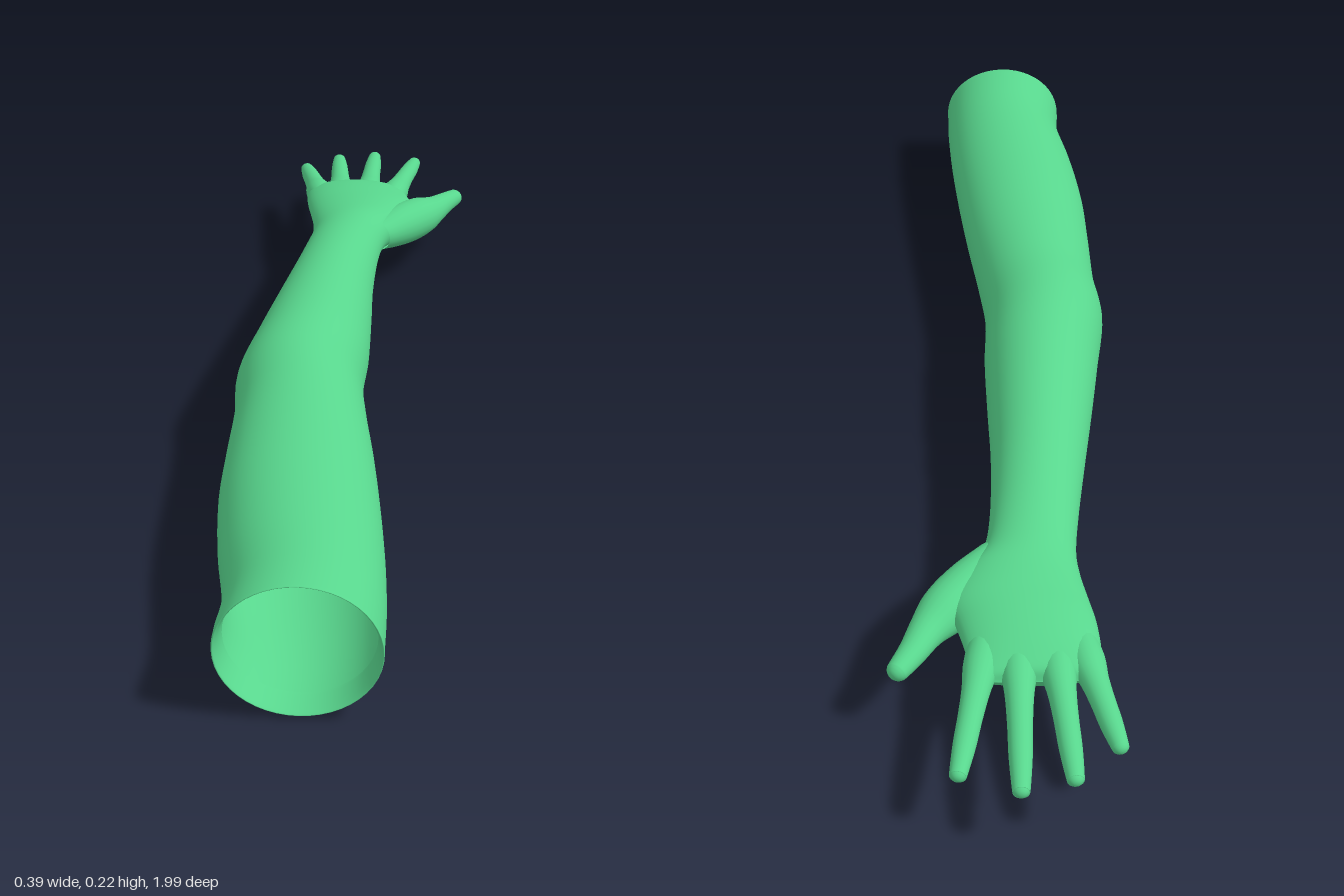
import * as THREE from 'three';

const skin = new THREE.MeshStandardMaterial({ color: 0x58d68d, side: THREE.DoubleSide });
skin.name = 'green';

// Smooth loft through stations [x, y, z, half width, half height];
// side is the width direction, perpendicular to y.
function loft(name, stations, side, rings, sides) {
  const path = new THREE.CatmullRomCurve3(
    stations.map(([x, y, z]) => new THREE.Vector3(x, y, z)), false, 'catmullrom', 0.5);
  const size = new THREE.CatmullRomCurve3(
    stations.map(([, , , w, h]) => new THREE.Vector3(w, h, 0)), false, 'catmullrom', 0.5);
  const pos = [], index = [];
  for (let i = 0; i <= rings; i++) {
    const p = path.getPoint(i / rings), s = size.getPoint(i / rings);
    for (let j = 0; j < sides; j++) {
      const a = (j / sides) * Math.PI * 2;
      const u = Math.cos(a) * s.x, v = Math.sin(a) * s.y;
      pos.push(p.x + side.x * u, p.y + v, p.z + side.z * u);
      if (i < rings) {
        const k = (j + 1) % sides, r = i * sides, n = r + sides;
        index.push(r + j, n + j, r + k, r + k, n + j, n + k);
      }
    }
  }
  const geo = new THREE.BufferGeometry();
  geo.setAttribute('position', new THREE.Float32BufferAttribute(pos, 3));
  geo.setIndex(index);
  geo.computeVertexNormals();
  const mesh = new THREE.Mesh(geo, skin);
  mesh.name = name;
  return mesh;
}

// Digit: points [x, y, z, radius], slightly flattened, with a rounded tip
function digit(name, points, flat) {
  const a = points[0], b = points[points.length - 1];
  const dir = new THREE.Vector3(b[0] - a[0], 0, b[2] - a[2]).normalize();
  const side = new THREE.Vector3(-dir.z, 0, dir.x);
  const stations = points.map(([x, y, z, r]) => [x, y, z, r, r * flat]);
  const [x, y, z, r] = b;
  for (const t of [0.5, 0.8, 0.95, 1]) {
    const k = Math.sqrt(1 - t * t) * r;
    stations.push([x + dir.x * r * t, y, z + dir.z * r * t, k, k * flat]);
  }
  return loft(name, stations, side, 40, 20);
}

export function createModel() {
  const group = new THREE.Group();
  group.name = 'armWithHand';

  // Arm outline from shoulder opening to knuckles: z, x min, x max, y min, y max
  const outline = [
    [0.95, -0.137, 0.081, 0.014, 0.206],
    [0.985, -0.142, 0.086, 0.009, 0.211],
    [0.994, -0.147, 0.091, 0.005, 0.215],
    [0.975, -0.148, 0.091, 0.004, 0.216],
    [0.88, -0.145, 0.09, 0.006, 0.214],
    [0.75, -0.165, 0.083, 0.008, 0.213],
    [0.6, -0.181, 0.07, 0.008, 0.212],
    [0.45, -0.185, 0.054, 0.01, 0.211],
    [0.3, -0.187, 0.035, 0.007, 0.213],
    [0.18, -0.196, 0.024, 0.001, 0.219],
    [0.05, -0.18, 0.028, 0.004, 0.218],
    [-0.1, -0.16, 0.026, 0.015, 0.208],
    [-0.25, -0.139, 0.023, 0.036, 0.195],
    [-0.4, -0.119, 0.028, 0.06, 0.181],
    [-0.49, -0.11, 0.042, 0.07, 0.172],
    [-0.55, -0.113, 0.08, 0.075, 0.17],
    [-0.61, -0.123, 0.1, 0.078, 0.17],
    [-0.66, -0.132, 0.086, 0.08, 0.168],
    [-0.71, -0.136, 0.073, 0.084, 0.16],
    [-0.75, -0.134, 0.066, 0.09, 0.146],
    [-0.77, -0.128, 0.06, 0.1, 0.135],
    [-0.778, -0.12, 0.052, 0.1165, 0.1175],
  ];
  group.add(loft('armAndPalm', outline.map(([z, x0, x1, y0, y1]) =>
    [(x0 + x1) / 2, (y0 + y1) / 2, z, (x1 - x0) / 2, (y1 - y0) / 2]),
  new THREE.Vector3(1, 0, 0), 150, 48));

  // Fingers: base x, base z, tip x, tip z
  const fingers = {
    littleFinger: [-0.113, -0.74, -0.151, -0.905],
    ringFinger: [-0.068, -0.75, -0.083, -0.965],
    middleFinger: [-0.009, -0.75, -0.005, -0.985],
    indexFinger: [0.047, -0.74, 0.084, -0.953],
  };
  for (const [name, [bx, bz, tx, tz]] of Object.entries(fingers)) {
    const at = (t, y, r) => [bx + (tx - bx) * t, y, bz + (tz - bz) * t, r];
    group.add(digit(name, [
      at(-0.35, 0.123, 0.026), at(0, 0.12, 0.028), at(0.25, 0.118, 0.022),
      at(0.5, 0.116, 0.019), at(0.75, 0.113, 0.0175), at(1, 0.111, 0.0135),
    ], 0.95));
  }

  // Thumb
  group.add(digit('thumb', [
    [0.02, 0.12, -0.5, 0.032], [0.06, 0.118, -0.56, 0.043],
    [0.1, 0.117, -0.615, 0.042], [0.13, 0.115, -0.66, 0.03],
    [0.152, 0.113, -0.705, 0.023], [0.173, 0.112, -0.742, 0.018],
  ], 0.95));

  return group;
}
